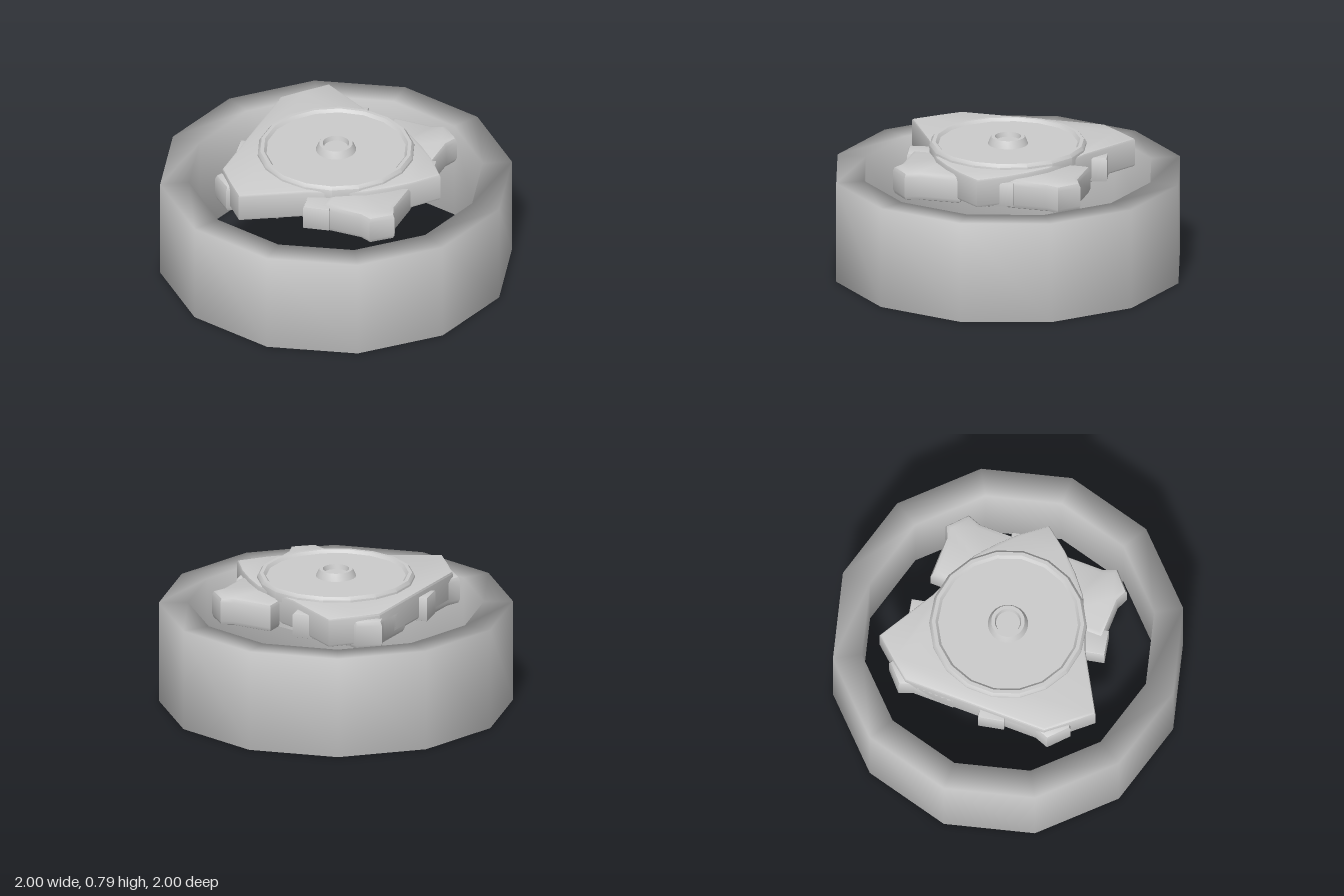
import * as THREE from 'three';
import { mergeVertices, toCreasedNormals } from 'three/addons/utils/BufferGeometryUtils.js';

const material = new THREE.MeshStandardMaterial({ color: 0xcccccc, side: THREE.DoubleSide });

function part(name, geometry) {
  const mesh = new THREE.Mesh(geometry, material);
  mesh.name = name;
  return mesh;
}

// Bevelled slab from an outline of [x, z] points, between heights y0 and y1
function slab(outline, y0, y1, bevel) {
  const shape = new THREE.Shape(outline.map(([x, z]) => new THREE.Vector2(x, -z)));
  const g = new THREE.ExtrudeGeometry(shape, {
    depth: y1 - y0 - 2 * bevel, bevelThickness: bevel, bevelSize: bevel,
    bevelOffset: -bevel, bevelSegments: 2,
  });
  g.rotateX(-Math.PI / 2).translate(0, y0 + bevel, 0);
  return toCreasedNormals(g, 0.75);
}

function lathe(points, segments) {
  return new THREE.LatheGeometry(points.map(([r, y]) => new THREE.Vector2(r, y)), segments);
}

export function createModel() {
  const model = new THREE.Group();
  model.name = 'ringWithHub';

  // Twelve-sided outer ring, shaded smoothly across its edges
  const ring = lathe([[0.835, 0], [1, 0], [1, 0.585], [0.835, 0.585], [0.835, 0]], 12);
  ring.deleteAttribute('normal');
  ring.deleteAttribute('uv');
  const ringGeometry = mergeVertices(ring, 1e-4);
  ringGeometry.computeVertexNormals();
  model.add(part('outerRing', ringGeometry));

  const hub = new THREE.Group();
  hub.name = 'hub';
  model.add(hub);

  // Core under the disc
  const core = new THREE.CylinderGeometry(0.44, 0.44, 0.18, 18);
  core.translate(0, 0.63, 0);
  hub.add(part('hubCore', toCreasedNormals(core, 0.75)));

  // Three-pointed plate, mirrored across z
  const half = [[0.64, 0], [0.53, 0.14], [0.43, 0.24], [0.32, 0.33], [0.15, 0.41],
    [0.02, 0.46], [-0.32, 0.655], [-0.43, 0.53], [-0.52, 0.42]];
  const star = [...half, ...half.slice(1).reverse().map(([x, z]) => [x, -z])];
  hub.add(part('pointedPlate', slab(star, 0.56, 0.73, 0.015)));

  // Four corner blocks with knobbed outer corners, and tilted tabs between them
  const block = [[0.13, 0.22], [0.13, 0.52], [0.37, 0.52], [0.44, 0.55],
    [0.55, 0.45], [0.52, 0.37], [0.52, 0.13], [0.22, 0.13]];
  for (let i = 0; i < 4; i++) {
    const sx = i % 2 ? 1 : -1;
    const sz = i < 2 ? 1 : -1;
    const outline = block.map(([x, z]) => [x * sx, z * sz]);
    hub.add(part('cornerBlock', slab(outline, 0.53, 0.7, 0.03)));

    const tab = part('tab', slab([[-0.075, 0.3], [0.075, 0.3], [0.075, 0.565], [-0.075, 0.565]],
      0.55, 0.69, 0.008));
    tab.rotation.y = 0.2 + i * Math.PI / 2;
    hub.add(tab);
  }

  // Top disc with a raised rim
  hub.add(part('topDisc', toCreasedNormals(lathe([[0.445, 0.69], [0.445, 0.742], [0.43, 0.76],
    [0.41, 0.76], [0.395, 0.743], [0, 0.743]], 18), 0.75)));

  // Hollow centre knob
  hub.add(part('centreKnob', toCreasedNormals(lathe([[0.115, 0.74], [0.105, 0.765], [0.095, 0.785],
    [0.075, 0.785], [0.068, 0.758], [0, 0.758]], 24), 0.75)));

  return model;
}
